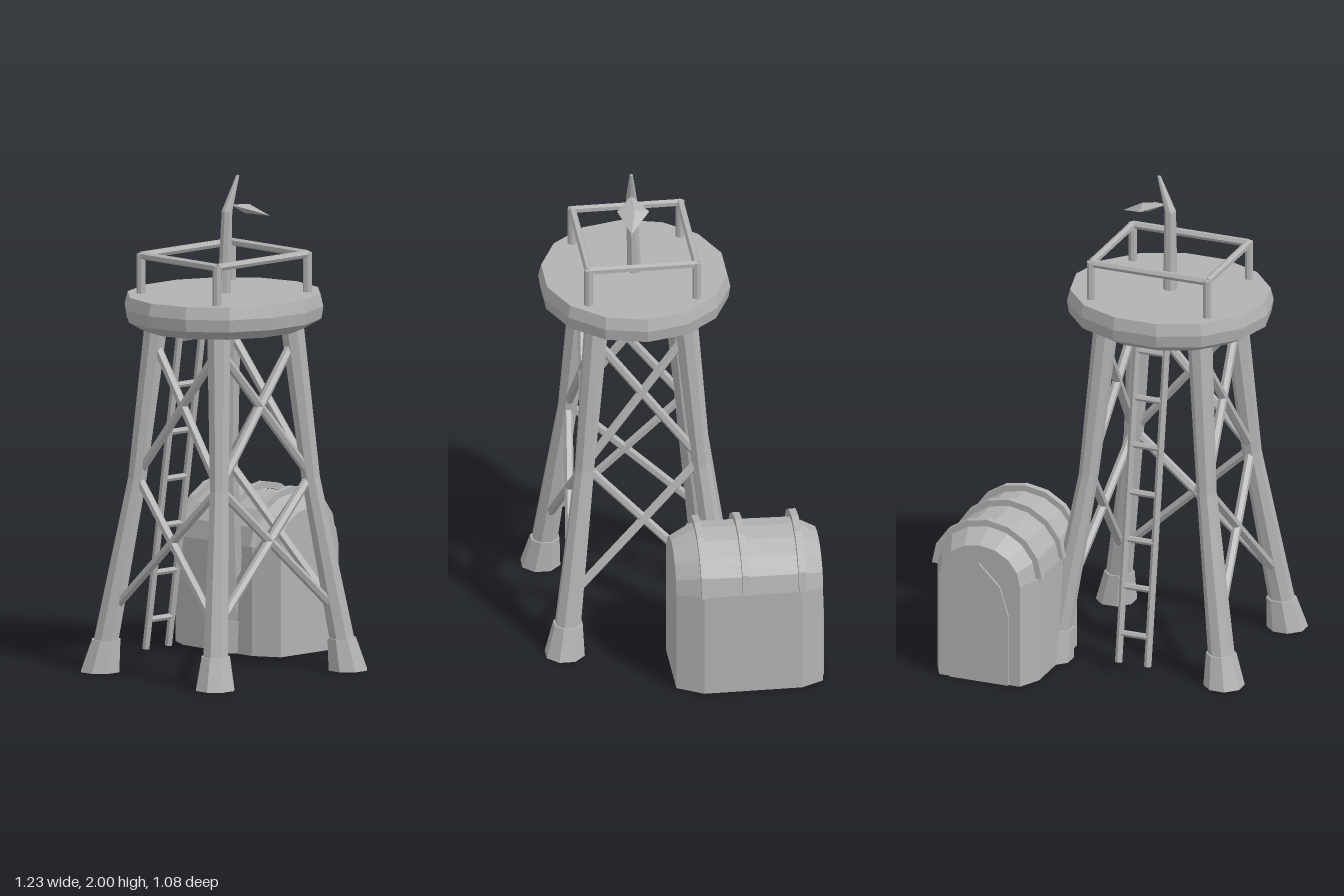
import * as THREE from 'three';
import { ConvexGeometry } from 'three/addons/geometries/ConvexGeometry.js';

const V = (x, y, z) => new THREE.Vector3(x, y, z);
const CX = -0.17, CZ = 0.135; // tower axis

// Skin between rings of points, with flat caps at both ends
function loft(rings) {
  const pos = [];
  const tri = (a, b, c) => pos.push(...a.toArray(), ...b.toArray(), ...c.toArray());
  const n = rings[0].length;
  for (let k = 0; k < rings.length - 1; k++) {
    const a = rings[k], b = rings[k + 1];
    for (let i = 0; i < n; i++) {
      const j = (i + 1) % n;
      tri(a[i], a[j], b[j]);
      tri(a[i], b[j], b[i]);
    }
  }
  const first = rings[0], last = rings[rings.length - 1];
  for (let i = 1; i < n - 1; i++) {
    tri(first[0], first[i + 1], first[i]);
    tri(last[0], last[i], last[i + 1]);
  }
  const g = new THREE.BufferGeometry();
  g.setAttribute('position', new THREE.Float32BufferAttribute(pos, 3));
  g.computeVertexNormals();
  return g;
}

// Horizontal polygon ring
function ring(x, y, z, rx, rz = rx, sides = 8, phase = Math.PI / 8) {
  return Array.from({ length: sides }, (_, i) => {
    const t = phase + (i / sides) * Math.PI * 2;
    return V(x + rx * Math.cos(t), y, z - rz * Math.sin(t));
  });
}

// Upright arch outline at depth z: straight walls and a rounded top
function arch(cx, z, w, base, spring, peak, segs = 8) {
  const pts = [V(cx - w, base, z), V(cx + w, base, z)];
  for (let i = 0; i <= segs; i++) {
    const t = (i / segs) * Math.PI;
    pts.push(V(cx + w * Math.cos(t), spring + (peak - spring) * Math.sin(t), z));
  }
  return pts;
}

export function createModel() {
  const model = new THREE.Group();
  const grey = new THREE.MeshStandardMaterial({ color: 0xb2b2b2, flatShading: true });
  grey.name = 'grey';

  const add = (name, geometry, parent = model) => {
    const m = new THREE.Mesh(geometry, grey);
    m.name = name;
    parent.add(m);
    return m;
  };
  const group = (name) => {
    const g = new THREE.Group();
    g.name = name;
    model.add(g);
    return g;
  };
  // Straight bar between two points
  const rod = (name, a, b, r, parent, sides = 6) => {
    const d = b.clone().sub(a);
    const m = add(name, new THREE.CylinderGeometry(r, r, d.length(), sides), parent);
    m.position.copy(a).add(b).multiplyScalar(0.5);
    m.quaternion.setFromUnitVectors(V(0, 1, 0), d.normalize());
  };

  // Leg centre line: height, x offset, z offset
  const path = [[0, 0.37, 0.33], [0.78, 0.255, 0.235], [1.41, 0.203, 0.18]];
  const legAt = (sx, sz, y) => {
    const k = y < path[1][0] ? 0 : 1;
    const [y0, x0, z0] = path[k], [y1, x1, z1] = path[k + 1];
    const t = (y - y0) / (y1 - y0);
    return V(CX + sx * (x0 + (x1 - x0) * t), y, CZ + sz * (z0 + (z1 - z0) * t));
  };

  // Four bent legs with flared feet
  const legs = group('legs');
  for (const sx of [-1, 1]) for (const sz of [-1, 1]) {
    const at = (y, r) => { const p = legAt(sx, sz, y); return ring(p.x, p.y, p.z, r); };
    add('leg', loft([at(0.1, 0.054), at(0.78, 0.04), at(1.41, 0.05)]), legs);
    add('foot', loft([at(0.04, 0.06), at(0, 0.083), at(0.13, 0.061)]), legs);
  }

  // Crossed braces on the front and both sides
  const braces = group('braces');
  const sides = [[[-1, 1], [1, 1]], [[-1, -1], [-1, 1]], [[1, -1], [1, 1]]];
  for (const [p, q] of sides) for (const [lo, hi] of [[0.24, 0.79], [0.79, 1.34]]) {
    rod('brace', legAt(...p, lo), legAt(...q, hi), 0.019, braces);
    rod('brace', legAt(...q, lo), legAt(...p, hi), 0.019, braces);
  }

  // Leaning ladder at the back
  const ladder = group('ladder');
  const ladderZ = (y) => -0.25 + (y - 0.05) * 0.15;
  for (const x of [-0.232, -0.106]) {
    rod('ladderRail', V(x, 0.05, ladderZ(0.05)), V(x, 1.41, ladderZ(1.41)), 0.015, ladder);
  }
  for (let i = 0; i < 7; i++) {
    const y = 0.17 + i * 0.193;
    rod('rung', V(-0.232, y, ladderZ(y)), V(-0.106, y, ladderZ(y)), 0.013, ladder);
  }

  // Bevelled platform
  const disc = [[1.39, 0.81], [1.43, 0.98], [1.48, 1], [1.53, 0.97]];
  add('platform', loft(disc.map(([y, s]) => ring(CX, y, CZ, 0.42 * s, 0.385 * s, 14, 0))));

  // Railing
  const railing = group('railing');
  const corners = [[-0.42, -0.083], [0.083, -0.083], [0.083, 0.353], [-0.42, 0.353]];
  corners.forEach(([x, z], i) => {
    const [nx, nz] = corners[(i + 1) % 4];
    rod('railPost', V(x, 1.52, z), V(x, 1.69, z), 0.018, railing, 8);
    rod('handrail', V(x, 1.683, z), V(nx, 1.683, nz), 0.016, railing);
  });

  // Bent mast with a leaf-shaped vane
  add('mast', loft([
    ring(-0.17, 1.52, 0.135, 0.029), ring(-0.165, 1.86, 0.147, 0.023), ring(-0.113, 2, 0.155, 0.007),
  ]));
  add('vane', new ConvexGeometry([
    V(-0.15, 1.885, 0.15), V(0.05, 1.82, 0.175), V(-0.055, 1.86, 0.09), V(-0.075, 1.857, 0.217),
    V(-0.045, 1.877, 0.15), V(-0.07, 1.842, 0.15),
  ]));

  // Barrel-roofed hut, narrowed at both ends
  const hut = group('hut');
  const HX = 0.38;
  add('hutBody', loft([
    arch(HX, -0.53, 0.175, 0, 0.43, 0.585), arch(HX, -0.44, 0.22, 0, 0.44, 0.63),
    arch(HX, -0.045, 0.22, 0, 0.44, 0.64), arch(HX, 0.06, 0.16, 0, 0.43, 0.59),
  ]), hut);

  // Roof ribs
  for (const z of [-0.44, -0.213, -0.047]) {
    const section = (t) => [[0.212, -0.014], [0.212, 0.014], [0.238, 0.014], [0.238, -0.014]].map(
      ([r, dz]) => V(HX + r * Math.cos(t), 0.445 + (r - 0.018) * Math.sin(t), z + dz));
    const rings = Array.from({ length: 9 }, (_, i) => section((i / 8) * Math.PI));
    add('roofRib', loft(rings), hut);
  }

  // Pointed door on the back wall
  const door = new THREE.Shape([
    [-0.127, 0], [0.127, 0], [0.127, 0.3], [0.09, 0.42], [0, 0.51], [-0.09, 0.42], [-0.127, 0.3],
  ].map(([x, y]) => new THREE.Vector2(x, y)));
  add('door', new THREE.ExtrudeGeometry(door, { depth: 0.009, bevelEnabled: false }), hut)
    .position.set(HX, 0, -0.539);

  return model;
}
